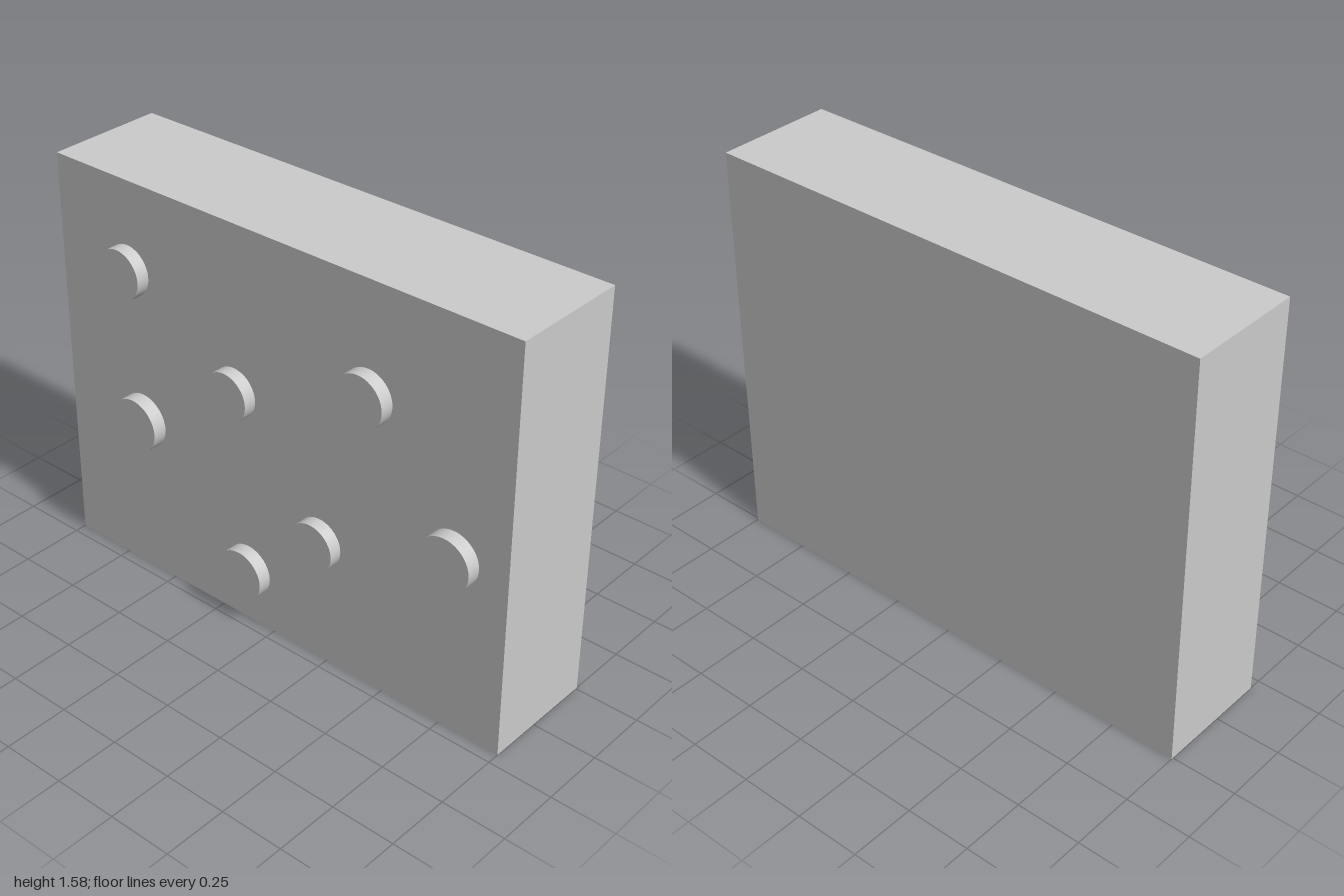
import * as THREE from 'three';

export function createModel() {
  const model = new THREE.Group();
  const material = new THREE.MeshStandardMaterial({ color: 0xcccccc });
  const height = 1.58, back = -0.257, face = 0.203;

  // Upright slab
  const slab = new THREE.Mesh(new THREE.BoxGeometry(2, height, face - back), material);
  slab.name = 'slab';
  slab.position.set(0, height / 2, (face + back) / 2);
  model.add(slab);

  // Round studs on the front face: x, y, radius
  const studs = [
    [-0.668, 1.235, 0.097],
    [0.416, 1.161, 0.1],
    [-0.172, 0.939, 0.095],
    [-0.626, 0.642, 0.105],
    [0.78, 0.704, 0.103],
    [0.213, 0.497, 0.094],
    [-0.121, 0.219, 0.1],
  ];
  studs.forEach(([x, y, radius], i) => {
    const depth = radius * 0.53;
    const geometry = new THREE.CylinderGeometry(radius, radius, depth, 48).rotateX(Math.PI / 2);
    const stud = new THREE.Mesh(geometry, material);
    stud.name = `stud${i + 1}`;
    stud.position.set(x, y, face + depth / 2);
    model.add(stud);
  });

  return model;
}
